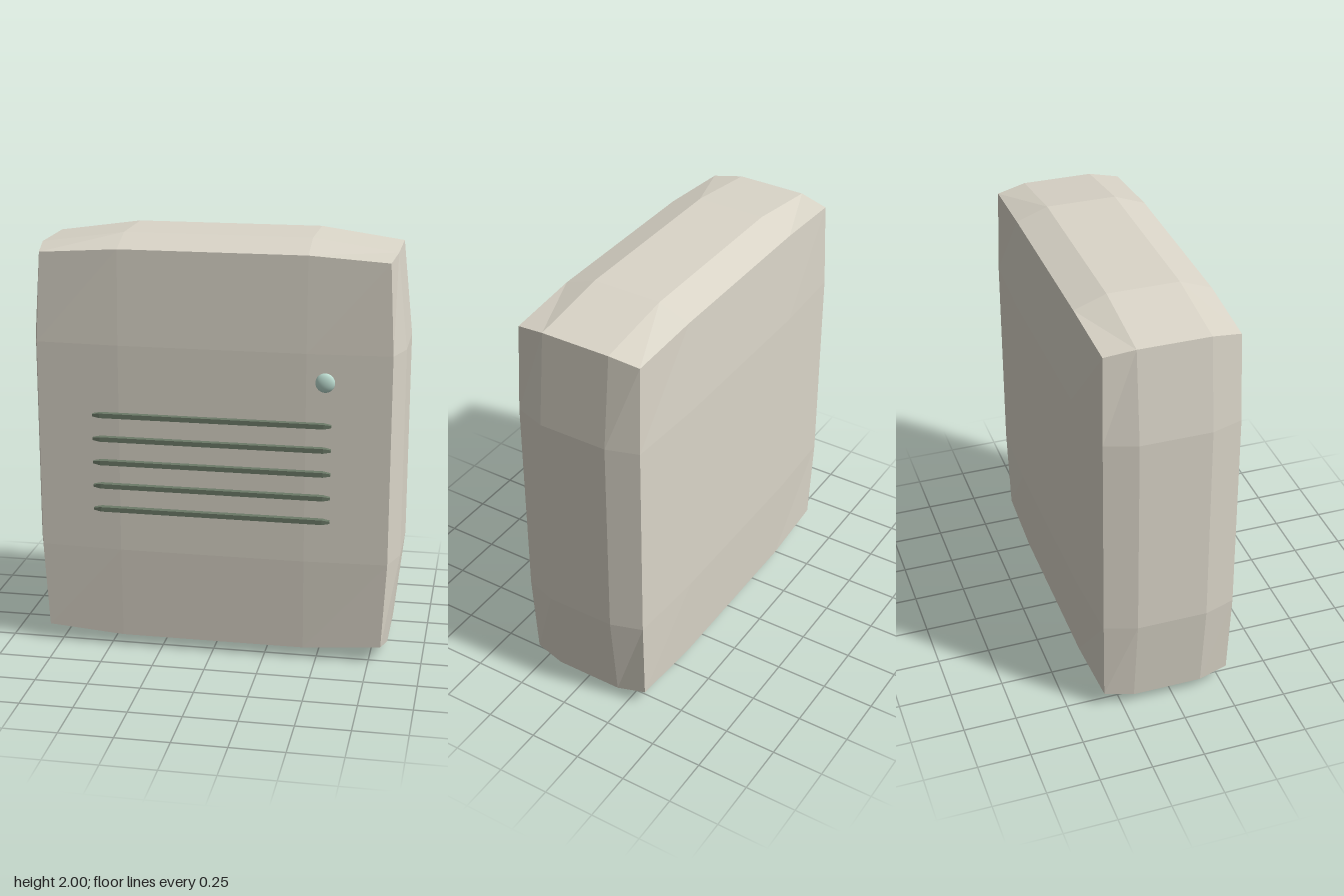
import * as THREE from 'three';

const material = (color, flat) => new THREE.MeshStandardMaterial({ color, flatShading: flat });

// Move every vertex of a geometry by a rule
function reshape(geometry, rule) {
  const pos = geometry.attributes.position;
  const v = new THREE.Vector3();
  for (let i = 0; i < pos.count; i++) {
    rule(v.fromBufferAttribute(pos, i));
    pos.setXYZ(i, v.x, v.y, v.z);
  }
  geometry.computeVertexNormals();
  return geometry;
}

// Box whose outer band is pulled in at the edges, and more at the corners
function pillowBox(width, height, depth) {
  const geometry = reshape(new THREE.BoxGeometry(2, 2, 2, 4, 4, 4), (v) => {
    const outer = v.toArray().filter((c) => Math.abs(c) > 0.99).length;
    const pull = [1, 1, 0.945, 0.92][outer];
    for (const axis of ['x', 'y', 'z']) {
      if (Math.abs(v[axis]) > 0.99) v[axis] *= pull;
    }
  });
  return geometry.scale(width / 2, height / 2, depth / 2);
}

// Thin bar with tapered ends
function taperedBar(length, height, depth, taper) {
  return reshape(new THREE.BoxGeometry(length, height, depth, 3, 1, 1), (v) => {
    if (Math.abs(v.x) > length * 0.4) {
      v.y *= 0.5;
      v.z *= 0.6;
    } else {
      v.x = Math.sign(v.x) * (length / 2 - taper);
    }
  });
}

export function createModel() {
  const model = new THREE.Group();
  model.name = 'wallUnit';

  function add(name, geometry, mat, x, y, z) {
    const mesh = new THREE.Mesh(geometry, mat);
    mesh.name = name;
    mesh.position.set(x, y, z);
    model.add(mesh);
    return mesh;
  }

  // Casing
  add('casing', pillowBox(1.755, 2, 0.665), material(0xdad5c8, true), 0, 1, -0.028);

  // Grille of five bars
  const barMaterial = material(0x6c7a68, true);
  const bar = taperedBar(1.12, 0.022, 0.03, 0.035);
  for (let i = 0; i < 5; i++) {
    add(`grilleBar${i + 1}`, bar, barMaterial, 0, 1.17 - i * 0.115, 0.325);
  }

  // Indicator light
  const light = add('indicatorLight', new THREE.SphereGeometry(0.045, 24, 16), material(0xbcdcd0, false), 0.53, 1.377, 0.338);
  light.scale.z = 0.5;

  return model;
}
